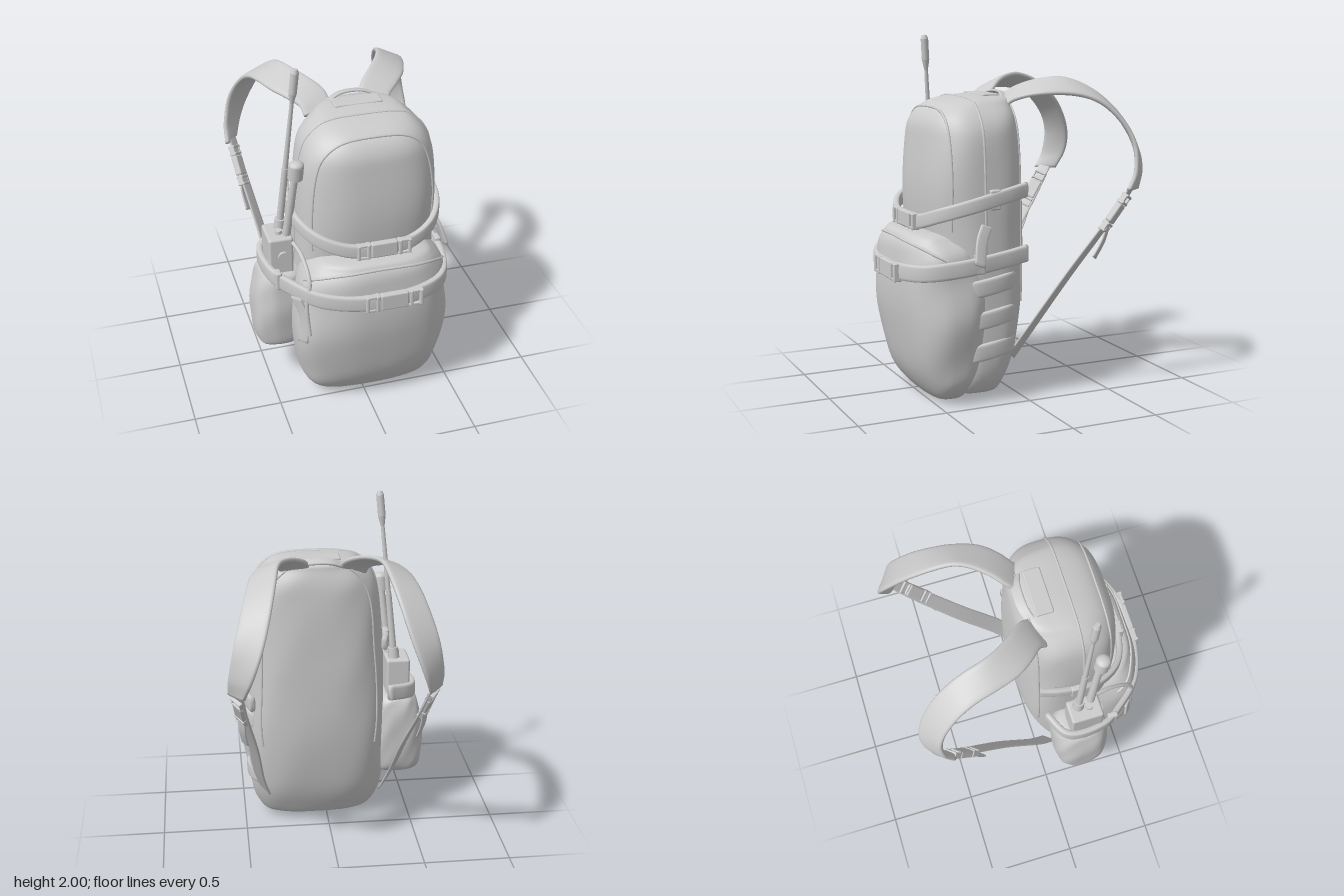
import * as THREE from 'three';
import { mergeVertices } from 'three/addons/utils/BufferGeometryUtils.js';
import { RoundedBoxGeometry } from 'three/addons/geometries/RoundedBoxGeometry.js';

const mat = new THREE.MeshStandardMaterial({ color: 0xcccccc, roughness: 0.8 });
const V = (x, y, z) => new THREE.Vector3(x, y, z);
const spline = pts => new THREE.CatmullRomCurve3(pts, false, 'centripetal');

function add(parent, name, geometry, pos) {
  const m = new THREE.Mesh(geometry, mat);
  m.name = name;
  if (pos) m.position.set(...pos);
  parent.add(m);
  return m;
}

// Skin a grid of points; u runs round the section, v along the part.
function skin(fn, nu, nv) {
  const pos = [], idx = [];
  for (let j = 0; j <= nv; j++)
    for (let i = 0; i < nu; i++) pos.push(...fn(i / nu, j).toArray());
  for (let j = 0; j < nv; j++)
    for (let i = 0; i < nu; i++) {
      const k = (i + 1) % nu, a = j * nu + i, b = j * nu + k, c = a + nu, d = b + nu;
      idx.push(a, c, b, b, c, d);
    }
  let g = new THREE.BufferGeometry();
  g.setAttribute('position', new THREE.Float32BufferAttribute(pos, 3));
  g.setIndex(idx);
  g = mergeVertices(g, 1e-5);
  g.computeVertexNormals();
  return g;
}

// Soft bag surface from rows of [y, centreX, halfWidth, zBack, zFront].
function bagSurface(rows, power, wrinkle) {
  const n = rows.length - 1;
  const mix = (t, k) => {
    const f = Math.min(t, 0.99999) * n, i = Math.floor(f), s = f - i;
    const at = q => rows[Math.max(0, Math.min(n, q))][k];
    const m0 = (at(i + 1) - at(i - 1)) / 2, m1 = (at(i + 2) - at(i)) / 2;
    return (2 * s ** 3 - 3 * s * s + 1) * at(i) + (s ** 3 - 2 * s * s + s) * m0
      + (3 * s * s - 2 * s ** 3) * at(i + 1) + (s ** 3 - s * s) * m1;
  };
  const pw = c => Math.sign(c) * Math.abs(c) ** (2 / power);
  return (a, t) => {
    const zb = mix(t, 3), zf = mix(t, 4);
    const r = 1 + wrinkle * Math.sin(5 * a + 11 * t) * Math.sin(17 * t + 3 * Math.cos(a));
    return V(mix(t, 1) + mix(t, 2) * r * pw(Math.cos(a)), Math.max(0.002, mix(t, 0)),
      (zb + zf) / 2 + (zf - zb) / 2 * r * pw(Math.sin(a)));
  };
}
const bag = s => skin((u, j) => s(u * Math.PI * 2, j / 56), 72, 56);

// Webbing along a path; halves holds half-width vectors spread along it.
function ribbon(pts, halves, thick, steps = 48) {
  const path = spline(pts), across = halves.length > 1 ? spline(halves) : null;
  return skin((u, j) => {
    const t = Math.max(0, Math.min(1, (j - 1) / steps));
    const end = j === 0 || j === steps + 2 ? 0 : 1;
    const w = across ? across.getPoint(t) : halves[0].clone();
    const n = path.getTangent(t).cross(w).normalize();
    const a = u * Math.PI * 2, pw = c => Math.sign(c) * Math.sqrt(Math.abs(c));
    return path.getPoint(t).addScaledVector(w, end * pw(Math.cos(a)))
      .addScaledVector(n, -end * thick / 2 * pw(Math.sin(a)));
  }, 16, steps + 2);
}

const tube = (pts, r, seg = 60) => new THREE.TubeGeometry(spline(pts), seg, r, 8);
const box = (w, h, d, r = 0.01) => new RoundedBoxGeometry(w, h, d, 2, r);

// Piping where a bag surface meets the plane z: up one side, across and down.
function seam(surf, z, t0, t1) {
  const sides = [[], []];
  for (let i = 0; i <= 24; i++) {
    const t = t0 + (t1 - t0) * i / 24;
    sides.forEach((side, k) => {
      const point = a => surf(k ? Math.PI - a : a, t);
      let lo = -Math.PI / 2, hi = Math.PI / 2;
      for (let q = 0; q < 24; q++) {
        const mid = (lo + hi) / 2;
        if (point(mid).z < z) lo = mid; else hi = mid;
      }
      side.push(point(lo));
    });
  }
  return tube([...sides[0], ...sides[1].reverse()], 0.007, 120);
}

// Tapered rod between two points.
function rod(parent, name, a, b, ra, rb) {
  const m = add(parent, name, new THREE.CylinderGeometry(rb, ra, a.distanceTo(b), 14));
  m.position.copy(a).lerp(b, 0.5);
  m.quaternion.setFromUnitVectors(V(0, 1, 0), b.clone().sub(a).normalize());
}

// Side-release clip with a slotted bar on either end.
function buckle(parent, name, pos, w, h) {
  const g = new THREE.Group();
  g.name = name;
  g.position.copy(pos);
  add(g, 'clipBody', box(w * 0.5, h, 0.04));
  for (const s of [-1, 1]) {
    for (const x of [0.3, 0.48]) add(g, 'slotBar', box(w * 0.06, h, 0.045, 0.006), [s * w * x, 0, 0]);
    for (const y of [-1, 1]) add(g, 'sideBar', box(w * 0.26, h * 0.16, 0.035, 0.005), [s * w * 0.38, y * h * 0.42, 0]);
  }
  parent.add(g);
  return g;
}

export function createModel() {
  const model = new THREE.Group();
  model.name = 'backpack';

  // Main compartment
  const body = bagSurface([
    [0.03, 0.06, 0, 0.2, 0.2], [0.035, 0.06, 0.27, 0.11, 0.36], [0.1, 0.06, 0.36, 0.06, 0.42], [0.28, 0.06, 0.4, -0.01, 0.44],
    [0.6, 0.06, 0.405, -0.06, 0.46], [0.95, 0.06, 0.4, -0.07, 0.5], [1.2, 0.065, 0.395, -0.065, 0.515],
    [1.43, 0.065, 0.375, -0.055, 0.5], [1.55, 0.065, 0.34, -0.045, 0.475], [1.63, 0.065, 0.27, -0.02, 0.405],
    [1.67, 0.065, 0.19, 0, 0.27], [1.685, 0.065, 0, 0.09, 0.09]], 2.8, 0.01);
  add(model, 'mainCompartment', bag(body));
  add(model, 'zipSeam', seam(body, 0.25, 0.42, 0.91));
  add(model, 'frontPanelSeam', seam(body, 0.42, 0.46, 0.8));
  add(model, 'backPanelSeam', seam(body, 0.01, 0.35, 0.91));

  // Front pouch
  const pouch = bagSurface([
    [0.005, 0.06, 0, 0.41, 0.41], [0.015, 0.06, 0.26, 0.32, 0.48], [0.1, 0.05, 0.375, 0.25, 0.555], [0.25, 0.05, 0.42, 0.18, 0.615],
    [0.48, 0.05, 0.45, 0.14, 0.66], [0.7, 0.05, 0.425, 0.13, 0.67], [0.83, 0.055, 0.4, 0.17, 0.66],
    [0.91, 0.06, 0.34, 0.22, 0.635], [0.95, 0.06, 0.25, 0.3, 0.59], [0.96, 0.06, 0, 0.42, 0.42]], 2.7, 0.018);
  add(model, 'frontPouch', bag(pouch));
  const lid = [];
  for (let i = 0; i <= 24; i++) {
    const a = 0.15 + (Math.PI - 0.3) * i / 24;
    lid.push(pouch(a, 0.64 + 0.15 * Math.sin(a)));
  }
  add(model, 'pouchZip', tube(lid, 0.008));

  // Side pouch that carries the radio
  add(model, 'sidePouch', bag(bagSurface([
    [0.28, -0.43, 0, 0.2, 0.2], [0.285, -0.43, 0.11, 0.12, 0.31], [0.35, -0.425, 0.155, 0.07, 0.36], [0.55, -0.425, 0.165, 0.05, 0.38],
    [0.72, -0.42, 0.14, 0.06, 0.37], [0.79, -0.42, 0.095, 0.1, 0.34], [0.8, -0.42, 0, 0.22, 0.22]], 2.7, 0.025)));

  // Carry handle and its patch
  add(model, 'handlePatch', box(0.27, 0.02, 0.1, 0.008), [0.065, 1.678, 0.1]);
  add(model, 'carryHandle', ribbon([V(-0.08, 1.655, 0.02), V(0, 1.685, -0.005), V(0.13, 1.685, -0.005), V(0.21, 1.655, 0.02)],
    [V(0, 0.008, 0.028)], 0.016));

  // Compression straps around the front
  add(model, 'upperStrap', ribbon([V(0.44, 1.18, 0), V(0.47, 1.16, 0.12), V(0.465, 1.11, 0.33), V(0.38, 1.06, 0.48), V(0.22, 1.01, 0.55),
    V(-0.08, 1.01, 0.55), V(-0.25, 1.06, 0.48), V(-0.34, 1.11, 0.33), V(-0.345, 1.16, 0.12), V(-0.32, 1.18, 0)],
    [V(0, 0.041, 0)], 0.036, 80));
  buckle(model, 'upperBuckle', V(0.085, 1.01, 0.565), 0.3, 0.09);
  add(model, 'lowerStrap', ribbon([V(0.45, 0.83, 0), V(0.475, 0.81, 0.15), V(0.485, 0.78, 0.4), V(0.42, 0.76, 0.58), V(0.24, 0.75, 0.67),
    V(-0.05, 0.745, 0.675), V(-0.28, 0.76, 0.6), V(-0.42, 0.785, 0.46), V(-0.5, 0.81, 0.34), V(-0.505, 0.83, 0.12), V(-0.36, 0.85, 0.03)],
    [V(0, 0.047, 0)], 0.038, 90));
  buckle(model, 'lowerBuckle', V(0.11, 0.745, 0.685), 0.32, 0.1);

  // Strap adjusters and loose ends at the sides
  for (const [x, y, z] of [[0.47, 1.14, 0.2], [0.49, 0.8, 0.3], [-0.355, 1.14, 0.2], [-0.47, 0.8, 0.4]])
    add(model, 'strapAdjuster', box(0.035, 0.11, 0.06), [x, y, z]);
  add(model, 'looseEnd', ribbon([V(0.47, 1, 0.25), V(0.5, 0.93, 0.29), V(0.54, 0.8, 0.32)], [V(0, 0.012, 0.03)], 0.02, 16));
  add(model, 'looseEnd', ribbon([V(-0.4, 0.75, 0.52), V(-0.36, 0.62, 0.55), V(-0.37, 0.46, 0.55)], [V(0.022, 0, 0.02)], 0.018, 16));

  // Webbing loops on the left side
  for (const [y, x] of [[0.67, 0.455], [0.49, 0.455], [0.31, 0.445]])
    add(model, 'webbingLoop', ribbon([V(x - 0.03, y + 0.02, 0.07), V(x, y + 0.015, 0.12), V(x + 0.018, y, 0.22), V(x + 0.01, y - 0.015, 0.32), V(x - 0.02, y - 0.02, 0.36)],
      [V(0, 0.048, 0)], 0.035, 20));

  // Shoulder straps with buckle, lower webbing and loose end
  for (const s of [-1, 1]) {
    const g = new THREE.Group();
    g.name = s > 0 ? 'leftShoulderStrap' : 'rightShoulderStrap';
    const P = (x, y, z) => V(0.025 + s * x, y, z), W = (x, y, z) => V(s * x, y, z);
    add(g, 'paddedStrap', ribbon([P(0.16, 1.61, 0.05), P(0.18, 1.67, -0.01), P(0.245, 1.71, -0.08), P(0.31, 1.73, -0.17), P(0.352, 1.73, -0.28),
      P(0.375, 1.7, -0.39), P(0.4, 1.64, -0.49), P(0.435, 1.53, -0.59), P(0.475, 1.39, -0.65), P(0.51, 1.26, -0.65), P(0.53, 1.16, -0.605)],
      [W(0.085, -0.01, 0.01), W(0.078, -0.03, 0.035), W(0.075, -0.038, 0.04), W(0.078, -0.04, 0.015), W(0.082, -0.03, 0.015), W(0.085, -0.03, 0.02), W(0.065, -0.01, 0.05), W(0.04, 0, 0.055)], 0.03, 64));
    add(g, 'lowerWebbing', ribbon([P(0.53, 1.2, -0.62), P(0.5, 1.02, -0.5), P(0.435, 0.68, -0.25), P(0.395, 0.38, -0.03), P(0.36, 0.24, 0.06)],
      [W(0.024, 0.016, 0.02), W(0.03, 0.022, 0.026), W(0.032, 0.026, 0.03)], 0.014));
    const clip = buckle(g, 'strapBuckle', P(0.51, 1.03, -0.505), 0.24, 0.075);
    const along = W(-0.03, -0.2, 0.14).normalize(), wide = W(0.6, 0.4, 0.6);
    const face = along.clone().cross(wide).normalize();
    clip.quaternion.setFromRotationMatrix(new THREE.Matrix4().makeBasis(along, face.clone().cross(along), face));
    add(g, 'looseEnd', ribbon([P(0.5, 0.97, -0.47), P(0.5, 0.88, -0.44), P(0.485, 0.78, -0.39)], [W(0.018, 0.01, 0.018)], 0.012, 16));
    model.add(g);
  }

  // Radio with controls, antenna and hand microphone
  const radio = new THREE.Group();
  radio.name = 'radio';
  model.add(radio);
  add(radio, 'radioBody', box(0.14, 0.32, 0.19, 0.015), [-0.43, 0.85, 0.235]);
  add(radio, 'speakerButton', new THREE.CylinderGeometry(0.03, 0.03, 0.02, 20).rotateX(Math.PI / 2), [-0.42, 0.9, 0.335]);
  rod(radio, 'knob', V(-0.43, 1, 0.26), V(-0.43, 1.03, 0.26), 0.022, 0.02);
  const base = V(-0.41, 1, 0.2), tip = V(-0.32, 2, 0.285), at = t => base.clone().lerp(tip, t);
  for (const [a, b, ra, rb] of [[0, 0.07, 0.034, 0.03], [0.07, 0.4, 0.02, 0.018], [0.4, 0.8, 0.015, 0.011], [0.8, 0.86, 0.011, 0.022], [0.86, 0.98, 0.022, 0.022], [0.98, 1, 0.022, 0.014]])
    rod(radio, 'antenna', at(a), at(b), ra, rb);
  rod(radio, 'microphoneStem', V(-0.39, 1, 0.28), V(-0.345, 1.4, 0.33), 0.024, 0.02);
  rod(radio, 'microphoneHead', V(-0.345, 1.39, 0.335), V(-0.34, 1.47, 0.345), 0.042, 0.042);
  add(radio, 'microphoneCap', new THREE.SphereGeometry(0.042, 16, 10).scale(1, 0.6, 1), [-0.34, 1.47, 0.345]);
  add(radio, 'cable', tube([V(-0.37, 0.98, 0.3), V(-0.34, 0.95, 0.42), V(-0.33, 0.85, 0.55), V(-0.35, 0.7, 0.56), V(-0.34, 0.52, 0.58)], 0.012));

  return model;
}
